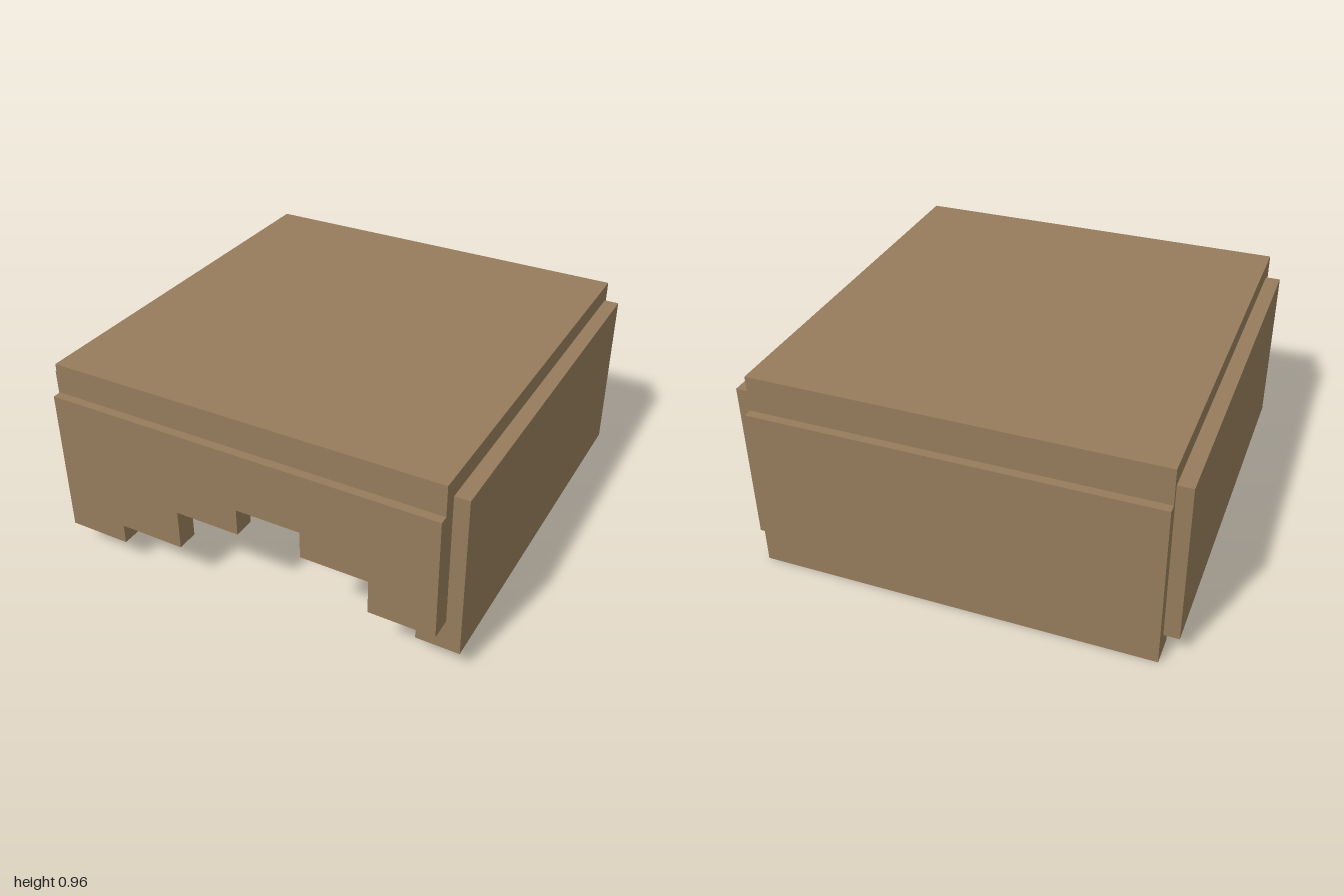
import * as THREE from 'three';

export function createModel() {
  const model = new THREE.Group();
  const wood = new THREE.MeshStandardMaterial({ color: 0x967c5c });
  wood.name = 'brown';

  const add = (name, geometry) => {
    const mesh = new THREE.Mesh(geometry, wood);
    mesh.name = name;
    model.add(mesh);
    return mesh;
  };

  // Box given by its limits on each axis
  const slab = (name, [x0, x1], [y0, y1], [z0, z1]) =>
    add(name, new THREE.BoxGeometry(x1 - x0, y1 - y0, z1 - z0))
      .position.set((x0 + x1) / 2, (y0 + y1) / 2, (z0 + z1) / 2);

  slab('topSlab', [-0.93, 0.925], [0.77, 0.965], [-0.96, 0.96]);
  slab('backPanel', [-0.93, 0.925], [0, 0.795], [-1, -0.86]);
  slab('rightPanel', [-1, -0.797], [0.1, 0.878], [-0.94, 0.897]);
  slab('leftPanel', [0.792, 0.993], [0.1, 0.878], [-0.94, 0.897]);

  // Front panel with a stepped opening: [right end of step, height of lower edge]
  const steps = [[-0.63, 0.125], [-0.312, 0.22], [0, 0.412], [0.307, 0.54], [0.622, 0.412], [0.925, 0.25]];
  const outline = new THREE.Shape();
  outline.moveTo(-0.93, 0.822);
  let x = -0.93;
  for (const [end, y] of steps) {
    outline.lineTo(x, y);
    outline.lineTo(end, y);
    x = end;
  }
  outline.lineTo(0.925, 0.822);
  outline.closePath();
  add('frontPanel', new THREE.ExtrudeGeometry(outline, { depth: 0.103, bevelEnabled: false }))
    .position.z = 0.897;

  return model;
}
